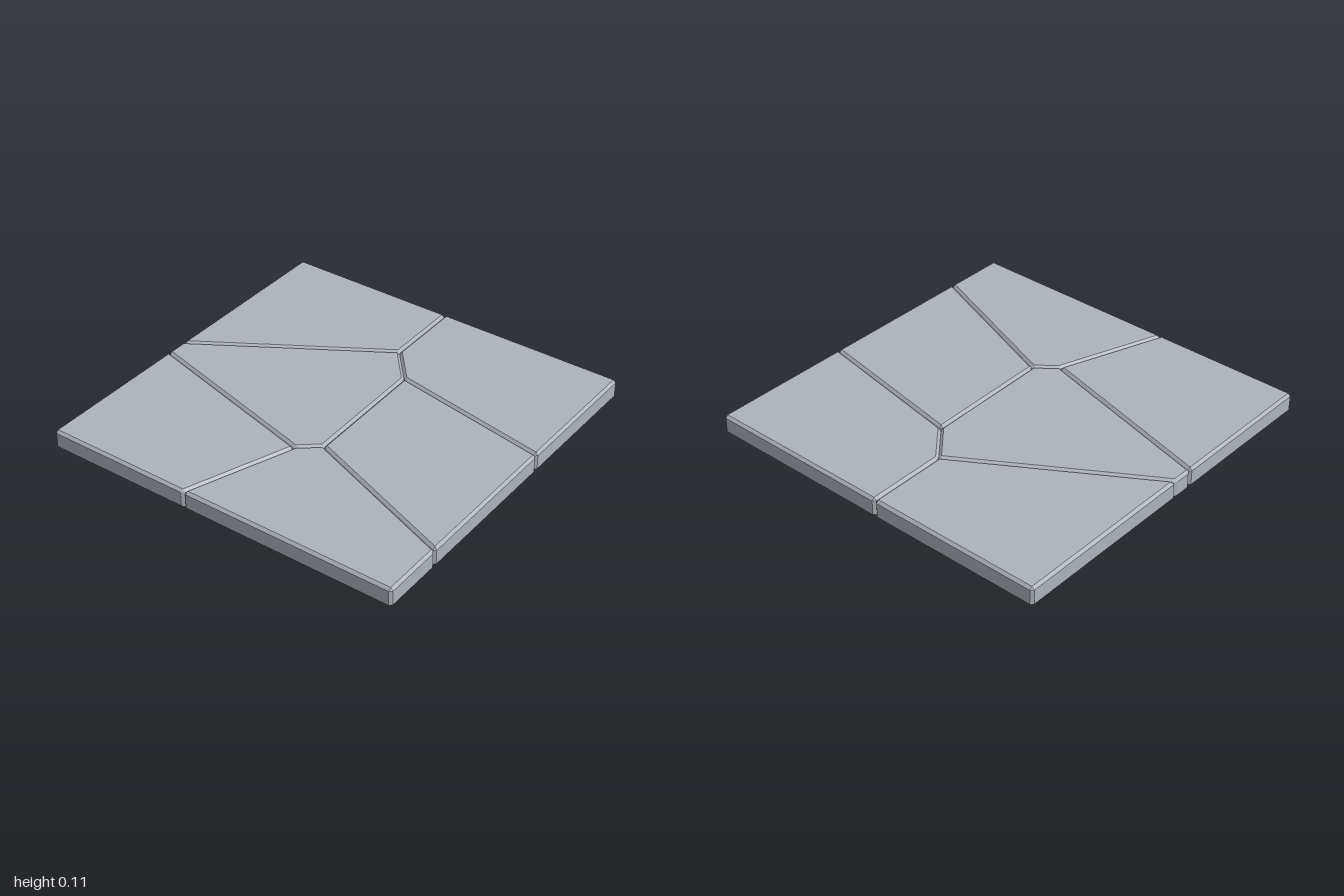
import * as THREE from 'three';
import { ConvexGeometry } from 'three/addons/geometries/ConvexGeometry.js';

const HEIGHT = 0.108;
const BEVEL = 0.014;

// Seam junctions and the points where seams meet the rim, as (x, z)
const P = {
  backLeft: [-1, -1], backRight: [1, -1], frontLeft: [-1, 1], frontRight: [1, 1],
  back1: [-0.145, -1], back2: [-0.034, -1],
  left: [-1, -0.182], right: [1, -0.04],
  front1: [-0.66, 1], front2: [0.213, 1],
  a: [-0.417, 0.027], b: [-0.328, 0.135], c: [0.374, 0.122], d: [0.561, -0.036],
};

// Convex outlines, each running around its stone
const STONES = {
  backLeftStone: ['backLeft', 'back1', 'a', 'left'],
  backMiddleStone: ['back1', 'back2', 'd', 'c', 'b', 'a'],
  backRightStone: ['back2', 'backRight', 'right', 'd'],
  frontRightStone: ['d', 'right', 'frontRight', 'front2', 'c'],
  frontMiddleStone: ['b', 'c', 'front2', 'front1'],
  frontLeftStone: ['left', 'a', 'b', 'front1', 'frontLeft'],
};

// Slab with every edge chamfered: inset caps, and sides with clipped corners
function stoneGeometry(outline) {
  const corners = outline.map((name) => new THREE.Vector2(...P[name]));
  const n = corners.length;
  const points = [];
  corners.forEach((corner, i) => {
    const toPrev = corners[(i + n - 1) % n].clone().sub(corner).normalize();
    const toNext = corners[(i + 1) % n].clone().sub(corner).normalize();
    const sine = Math.abs(toPrev.cross(toNext));
    const inset = corner.clone().addScaledVector(toPrev.clone().add(toNext), BEVEL / sine);
    for (const y of [0, HEIGHT]) points.push(new THREE.Vector3(inset.x, y, inset.y));
    for (const along of [toPrev, toNext]) {
      const side = corner.clone().addScaledVector(along, BEVEL);
      for (const y of [BEVEL, HEIGHT - BEVEL]) points.push(new THREE.Vector3(side.x, y, side.y));
    }
  });
  return new ConvexGeometry(points);
}

export function createModel() {
  const group = new THREE.Group();
  group.name = 'stoneFloorTile';
  const stone = new THREE.MeshStandardMaterial({ color: 0xadb3ba });
  stone.name = 'greyStone';
  for (const [name, outline] of Object.entries(STONES)) {
    const mesh = new THREE.Mesh(stoneGeometry(outline), stone);
    mesh.name = name;
    group.add(mesh);
  }
  return group;
}
